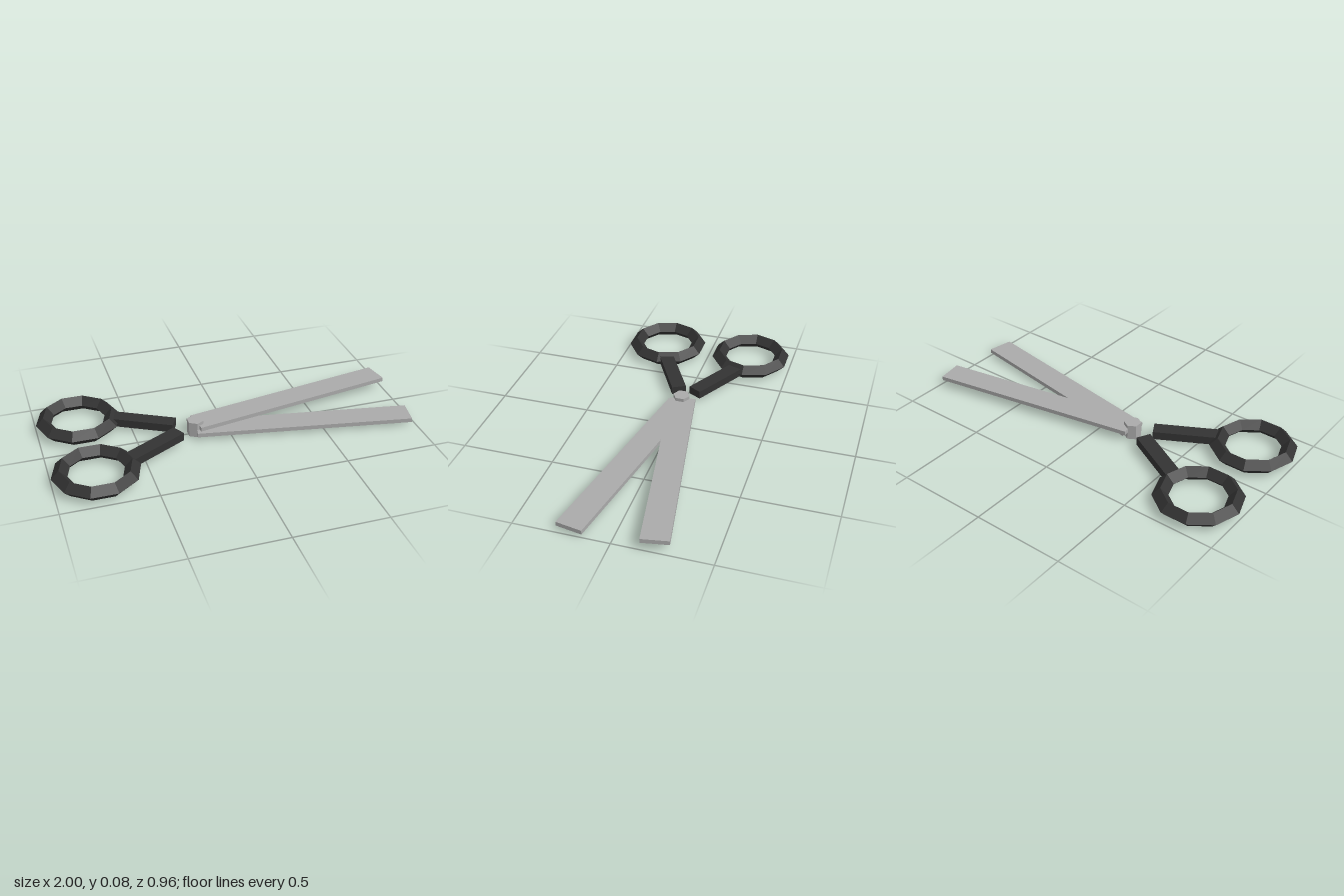
import * as THREE from 'three';

export function createModel() {
  const steel = new THREE.MeshStandardMaterial({ color: 0xaaaaaa });
  steel.name = 'steel';
  const black = new THREE.MeshStandardMaterial({ color: 0x333333 });
  black.name = 'blackPlastic';
  steel.flatShading = black.flatShading = true;

  const model = new THREE.Group();
  model.name = 'scissors';
  const midY = 0.042;

  function add(name, geometry, material, x, y, z, turn = 0) {
    const mesh = new THREE.Mesh(geometry, material);
    mesh.name = name;
    mesh.position.set(x, y, z);
    mesh.rotation.y = turn;
    model.add(mesh);
  }

  // ten-sided finger ring with a diamond section, lying flat
  const ring = new THREE.TorusGeometry(0.188, 0.042, 4, 10).rotateX(Math.PI / 2);
  const shank = new THREE.BoxGeometry(0.35, 0.045, 0.08);
  const blade = new THREE.BoxGeometry(1.18, 0.023, 0.142);

  for (const side of [-1, 1]) {
    const label = side < 0 ? 'back' : 'front';
    add(label + 'FingerRing', ring, black, -0.77, midY, side * 0.26);
    add(label + 'Shank', shank, black, -0.437, midY, side * 0.13, side * 0.5);
    // the back blade lies on top of the front one
    add(label + 'Blade', blade, steel, 0.406, midY - side * 0.012, side * 0.11, -side * 0.175);
  }

  // hexagonal pivot pin
  add('pivot', new THREE.CylinderGeometry(0.047, 0.047, 0.084, 6), steel, -0.179, midY, 0);

  return model;
}
